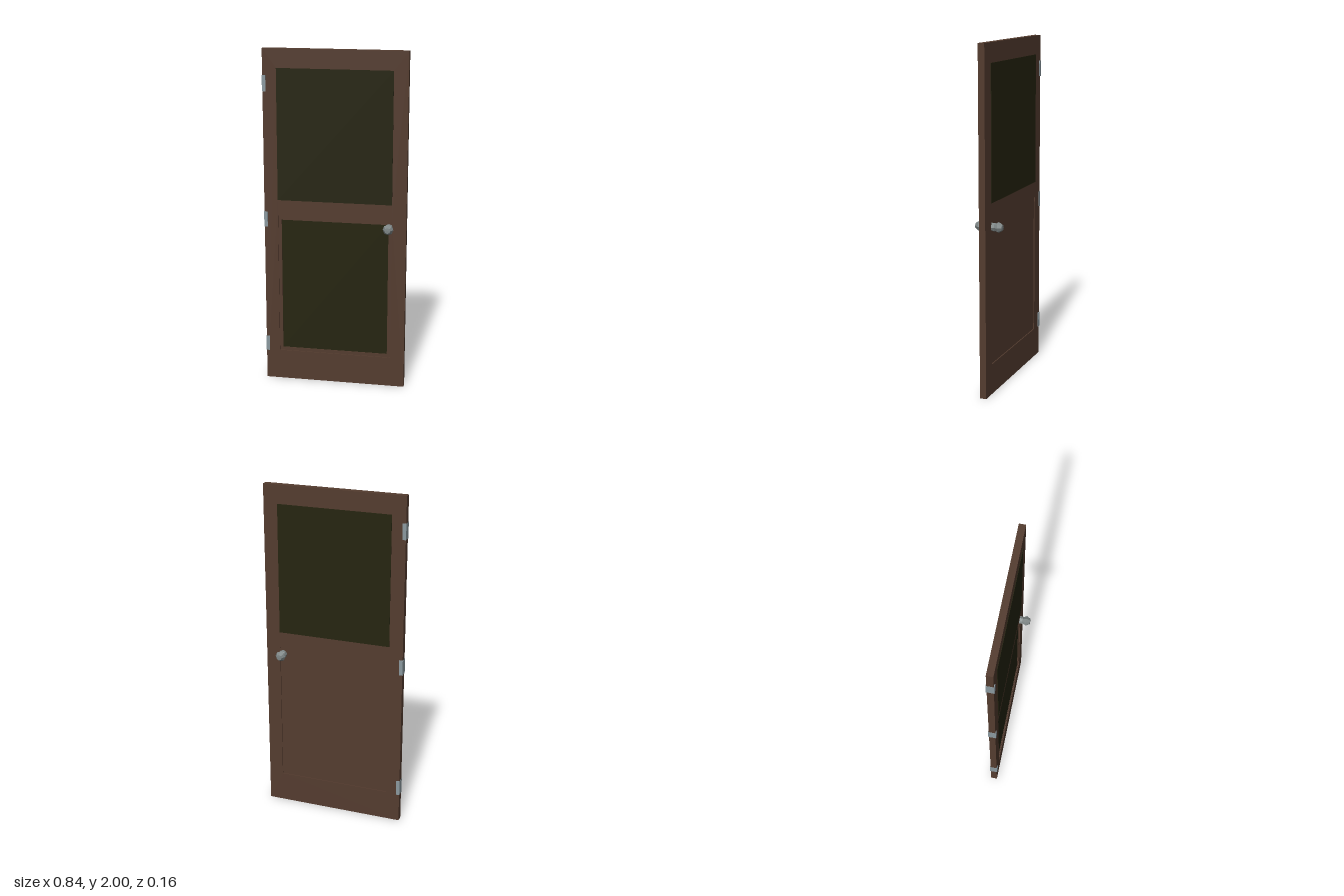
import * as THREE from 'three';

const mat = (name, color, flatShading = false) => {
  const m = new THREE.MeshStandardMaterial({ color, flatShading });
  m.name = name;
  return m;
};

export function createModel() {
  const wood = mat('brown wood', 0x543c2f);
  const screen = mat('dark green screen', 0x25240f);
  const steel = mat('hinge steel', 0x8b999f);
  const knobMetal = mat('knob metal', 0x7f8787, true);

  const door = new THREE.Group();
  door.name = 'door';
  const add = (name, geometry, material) => {
    const mesh = new THREE.Mesh(geometry, material);
    mesh.name = name;
    door.add(mesh);
    return mesh;
  };
  // box given by its limits on each axis
  const box = (name, material, x0, x1, y0, y1, z0, z1) =>
    add(name, new THREE.BoxGeometry(x1 - x0, y1 - y0, z1 - z0), material)
      .position.set((x0 + x1) / 2, (y0 + y1) / 2, (z0 + z1) / 2);
  const rect = (PathType, x0, x1, y0, y1) => new PathType([
    [x0, y0], [x1, y0], [x1, y1], [x0, y1],
  ].map(([x, y]) => new THREE.Vector2(x, y)));
  // rectangular frame with openings, between z0 and z1
  const frame = (name, outer, holes, z0, z1) => {
    const shape = rect(THREE.Shape, ...outer);
    shape.holes = holes.map((h) => rect(THREE.Path, ...h));
    const geometry = new THREE.ExtrudeGeometry(shape, { depth: z1 - z0, bevelEnabled: false });
    add(name, geometry.translate(0, 0, z0), wood);
  };

  // door leaf with an upper and a lower opening
  const upper = [-0.338, 0.335, 1.12, 1.89];
  const lower = [-0.338, 0.335, 0.18, 1.025];
  const inset = [-0.318, 0.315, 0.2, 1.0];
  frame('doorFrame', [-0.419, 0.419, 0, 2], [upper, lower], -0.019, 0.019);

  // upper screen stands slightly proud on both faces
  box('upperScreen', screen, ...upper, -0.022, 0.022);

  // lower panel: recessed wooden back, front moulding and screen inside it
  box('lowerPanel', wood, ...lower, -0.013, 0.004);
  frame('lowerMoulding', lower, [inset], 0.004, 0.013);
  box('lowerScreen', screen, ...inset, 0.004, 0.009);

  // hinges wrapped around the edge
  [0.222, 1.002, 1.802].forEach((y) =>
    box('hinge', steel, -0.421, -0.4, y - 0.046, y + 0.046, -0.023, 0.023));

  // faceted knob on each face
  const profile = [[0.024, 0], [0.024, 0.036], [0.021, 0.039], [0.031, 0.057], [0.017, 0.08], [0, 0.081]]
    .map(([r, h]) => new THREE.Vector2(r, h));
  [1, -1].forEach((side) => {
    const knob = add(side > 0 ? 'frontKnob' : 'backKnob', new THREE.LatheGeometry(profile, 8), knobMetal);
    knob.rotation.x = side * Math.PI / 2;
    knob.position.set(0.318, 0.983, 0);
  });

  return door;
}
